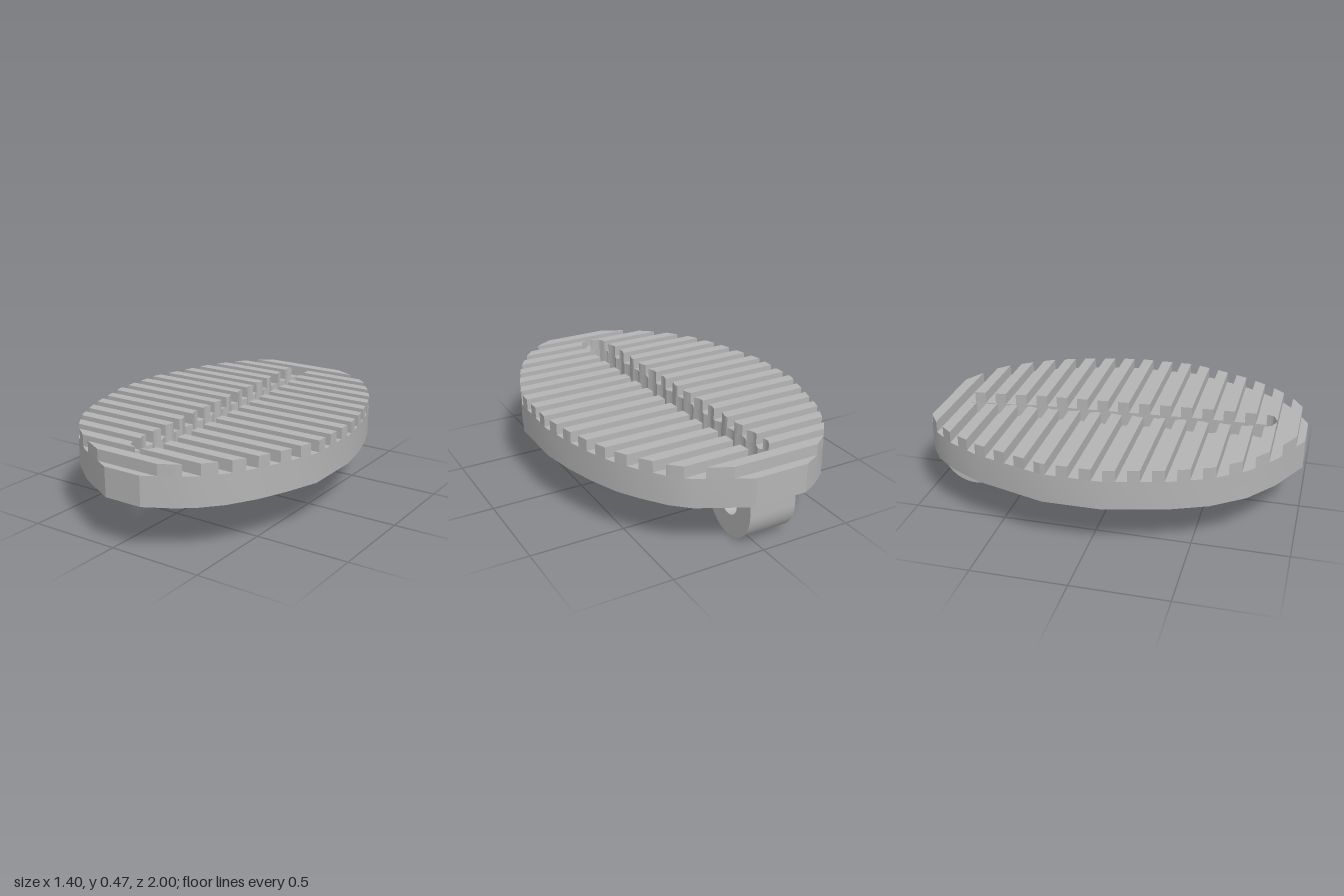
import * as THREE from 'three';
import { toCreasedNormals } from 'three/addons/utils/BufferGeometryUtils.js';

const PLATE_BOTTOM = 0.255, PLATE_TOP = 0.41, RIDGE_TOP = 0.47;
const PITCH = 0.1157, RIDGE_HALF = 0.03, RIDGES = 17, FIRST_Z = 0.93;

// Irregular oval outline, as [x, z]
const OUTLINE = [
  [-0.23, -1], [0.06, -1], [0.32, -0.865], [0.405, -0.785], [0.495, -0.66], [0.56, -0.55],
  [0.62, -0.395], [0.665, -0.235], [0.7, -0.05], [0.7, 0.28], [0.64, 0.46], [0.575, 0.615],
  [0.49, 0.76], [0.405, 0.855], [0.325, 0.92], [0.18, 1], [-0.03, 1], [-0.26, 0.88],
  [-0.42, 0.755], [-0.54, 0.59], [-0.62, 0.4], [-0.7, 0.09], [-0.7, -0.22], [-0.59, -0.595],
  [-0.5, -0.77], [-0.405, -0.89], [-0.315, -0.955],
];

// Slanted slot: rounded ends, smooth right edge and scalloped left edge
function slotPoints() {
  const pts = [[-0.12, -0.83], [-0.105, -0.865], [-0.08, -0.88], [-0.04, -0.88], [-0.01, -0.865], [0.0, -0.84],
    [0.02, -0.62], [0.04, -0.5], [0.06, -0.18], [0.08, 0.14], [0.1, 0.45], [0.11, 0.79],
    [0.1, 0.82], [0.075, 0.835], [0.045, 0.84], [0.005, 0.835], [-0.02, 0.82], [-0.033, 0.79]];
  for (let i = 1; i < 84; i++) {
    const t = i / 84, z = 0.79 - t * 1.62;
    const scallop = Math.abs(Math.sin(Math.PI * (z - 0.73) / (PITCH * 0.8)));
    pts.push([-0.028 - 0.088 * t - 0.018 * scallop, z]);
  }
  return pts;
}

const toShape = (pts) => new THREE.Shape(pts.map(([x, z]) => new THREE.Vector2(x, z)));

// Extrude a plan-view shape between two heights
function slab(shape, bottom, top) {
  const g = new THREE.ExtrudeGeometry(shape, { depth: top - bottom, bevelEnabled: false });
  g.rotateX(Math.PI / 2).translate(0, top, 0);
  return toCreasedNormals(g, 0.35);
}

// Left and right limits of a closed outline at a given z
function span(pts, z) {
  const xs = [];
  pts.forEach(([x0, z0], i) => {
    const [x1, z1] = pts[(i + 1) % pts.length];
    if ((z0 <= z) !== (z1 <= z)) xs.push(x0 + (x1 - x0) * (z - z0) / (z1 - z0));
  });
  return [Math.min(...xs), Math.max(...xs)];
}

export function createModel() {
  const group = new THREE.Group();
  const grey = new THREE.MeshStandardMaterial({ color: 0xb4b4b4 });
  grey.name = 'grey';
  const add = (name, geometry) => {
    const mesh = new THREE.Mesh(geometry, grey);
    mesh.name = name;
    group.add(mesh);
  };

  // Base plate with the slot cut through
  const slot = slotPoints();
  const plate = toShape(OUTLINE);
  plate.holes.push(toShape(slot));
  add('plate', slab(plate, PLATE_BOTTOM, PLATE_TOP));

  // Tread ridges, trimmed to the outline and split by the slot
  for (let i = 0; i < RIDGES; i++) {
    const zc = FIRST_Z - i * PITCH;
    const zs = Array.from({ length: 9 }, (_, k) => zc + RIDGE_HALF * (k / 4 - 1));
    const strip = (name, leftAt, rightAt) => {
      const pts = zs.map((z) => [leftAt(z), z]);
      pts.push(...zs.slice().reverse().map((z) => [rightAt(z), z]));
      add(name, slab(toShape(pts), PLATE_TOP, RIDGE_TOP));
    };
    const outer = (side) => (z) => span(OUTLINE, z)[side];
    const inner = (side) => (z) => span(slot, Math.min(0.838, Math.max(-0.878, z)))[side];
    if (zc > -0.87 && zc < 0.84) {
      strip('rightRidge', outer(0), inner(0));
      strip('leftRidge', inner(1), outer(1));
    } else strip('endRidge', outer(0), outer(1));
  }

  // Hinge lug with a cross hole, under the back end
  const lug = new THREE.Shape();
  lug.moveTo(0.605, PLATE_BOTTOM);
  lug.lineTo(0.605, 0.185);
  lug.absarc(0.79, 0.185, 0.185, Math.PI, Math.PI * 2, false);
  lug.lineTo(0.975, PLATE_BOTTOM);
  lug.closePath();
  lug.holes.push(new THREE.Path().absarc(0.79, 0.185, 0.07, 0, Math.PI * 2, true));
  const lugGeo = new THREE.ExtrudeGeometry(lug, { depth: 0.26, bevelEnabled: false, curveSegments: 32 });
  lugGeo.rotateY(Math.PI / 2).translate(-0.19, 0, 0);
  add('hingeLug', toCreasedNormals(lugGeo, 0.5));

  return group;
}
